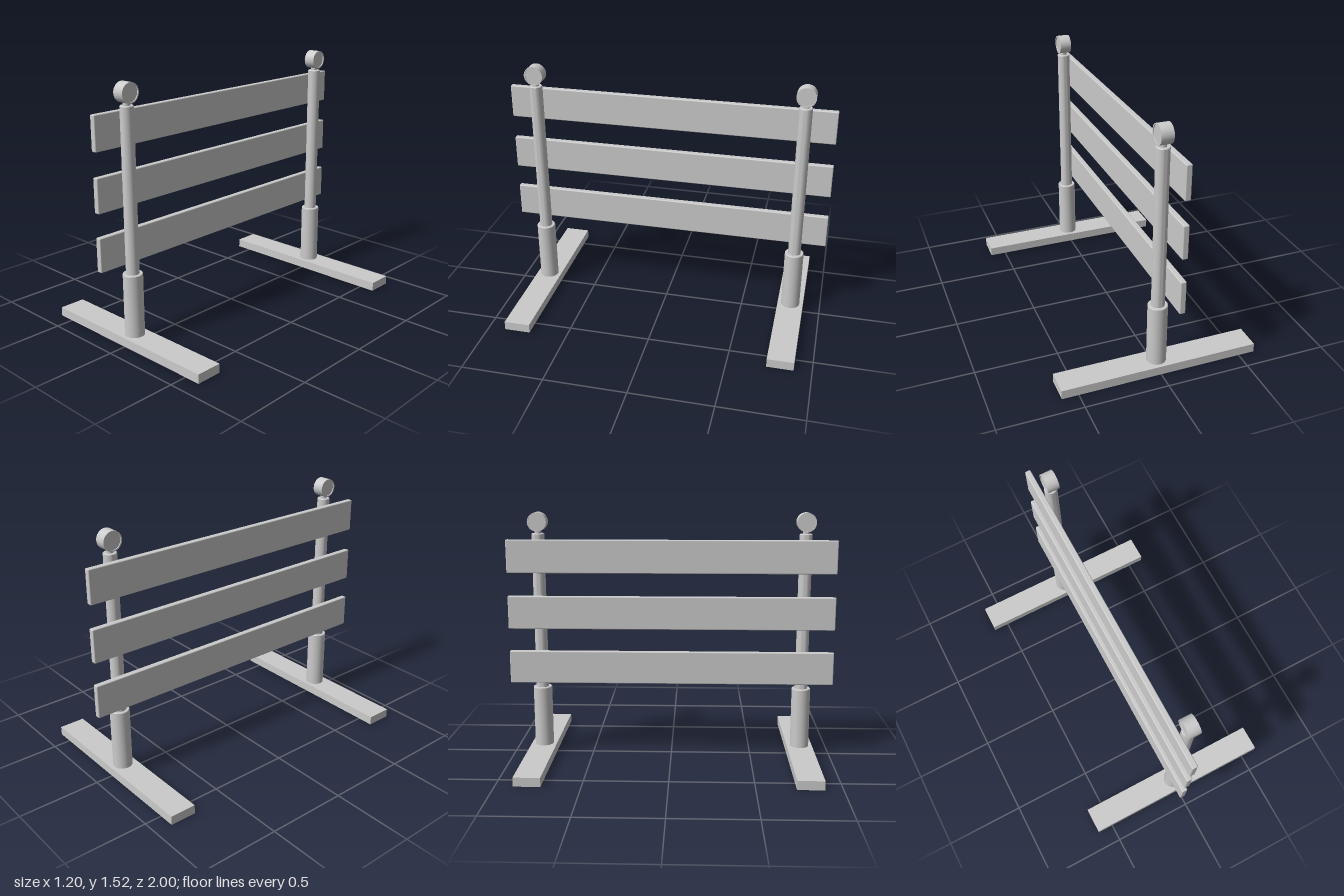
import * as THREE from 'three';
import { RoundedBoxGeometry } from 'three/addons/geometries/RoundedBoxGeometry.js';
import { toCreasedNormals } from 'three/addons/utils/BufferGeometryUtils.js';

const material = new THREE.MeshStandardMaterial({ color: 0xcccccc });
const shellMaterial = new THREE.MeshStandardMaterial({ color: 0xcccccc, side: THREE.DoubleSide });

function addMesh(parent, name, geometry, x, y, z, mat = material) {
  const mesh = new THREE.Mesh(geometry, mat);
  mesh.name = name;
  mesh.position.set(x, y, z);
  parent.add(mesh);
  return mesh;
}

// Solid turned around the y axis, with crisp edges
function lathe(points, segments = 32) {
  const profile = points.map(([r, y]) => new THREE.Vector2(r, y));
  return toCreasedNormals(new THREE.LatheGeometry(profile, segments), 0.5);
}

// Thin box shell with an open underside
function openBox(w, h, d) {
  const geometry = new THREE.BoxGeometry(w, h, d);
  const index = Array.from(geometry.index.array);
  index.splice(18, 6); // remove the bottom face
  geometry.setIndex(index);
  geometry.clearGroups();
  return geometry;
}

function createStand(name) {
  const stand = new THREE.Group();
  stand.name = name;

  // Hollow foot
  addMesh(stand, 'foot', openBox(1.2, 0.055, 0.16), 0, 0.0275, 0, shellMaterial);

  // Wide lower sleeve
  addMesh(stand, 'sleeve', lathe([
    [0, 0.05], [0.058, 0.05], [0.058, 0.43], [0.055, 0.434], [0, 0.434],
  ]), 0, 0, 0);

  // Post
  addMesh(stand, 'post', lathe([
    [0, 0.42], [0.039, 0.42], [0.039, 1.393], [0.036, 1.397], [0, 1.397],
  ]), 0, 0, 0);

  // Neck under the lamp
  addMesh(stand, 'neck', lathe([
    [0, 1.39], [0.02, 1.39], [0.02, 1.418], [0, 1.418],
  ]), 0, 0, 0);

  // Round lamp facing sideways, with slightly recessed lenses
  const lamp = addMesh(stand, 'lamp', lathe([
    [0, -0.03], [0.051, -0.03], [0.051, -0.036], [0.058, -0.036],
    [0.058, 0.036], [0.051, 0.036], [0.051, 0.03], [0, 0.03],
  ]), 0, 1.467, 0);
  lamp.rotation.z = Math.PI / 2;
  return stand;
}

export function createModel() {
  const model = new THREE.Group();
  model.name = 'barricade';

  // Front and back stands
  for (const [name, z] of [['frontStand', 0.814], ['backStand', -0.814]]) {
    const stand = createStand(name);
    stand.position.z = z;
    model.add(stand);
  }

  // Three horizontal boards beside the posts
  [['lowerBoard', 0.575], ['middleBoard', 0.918], ['upperBoard', 1.263]].forEach(([name, y]) => {
    addMesh(model, name, new RoundedBoxGeometry(0.035, 0.203, 2, 2, 0.006), -0.0625, y, 0);
  });

  return model;
}
